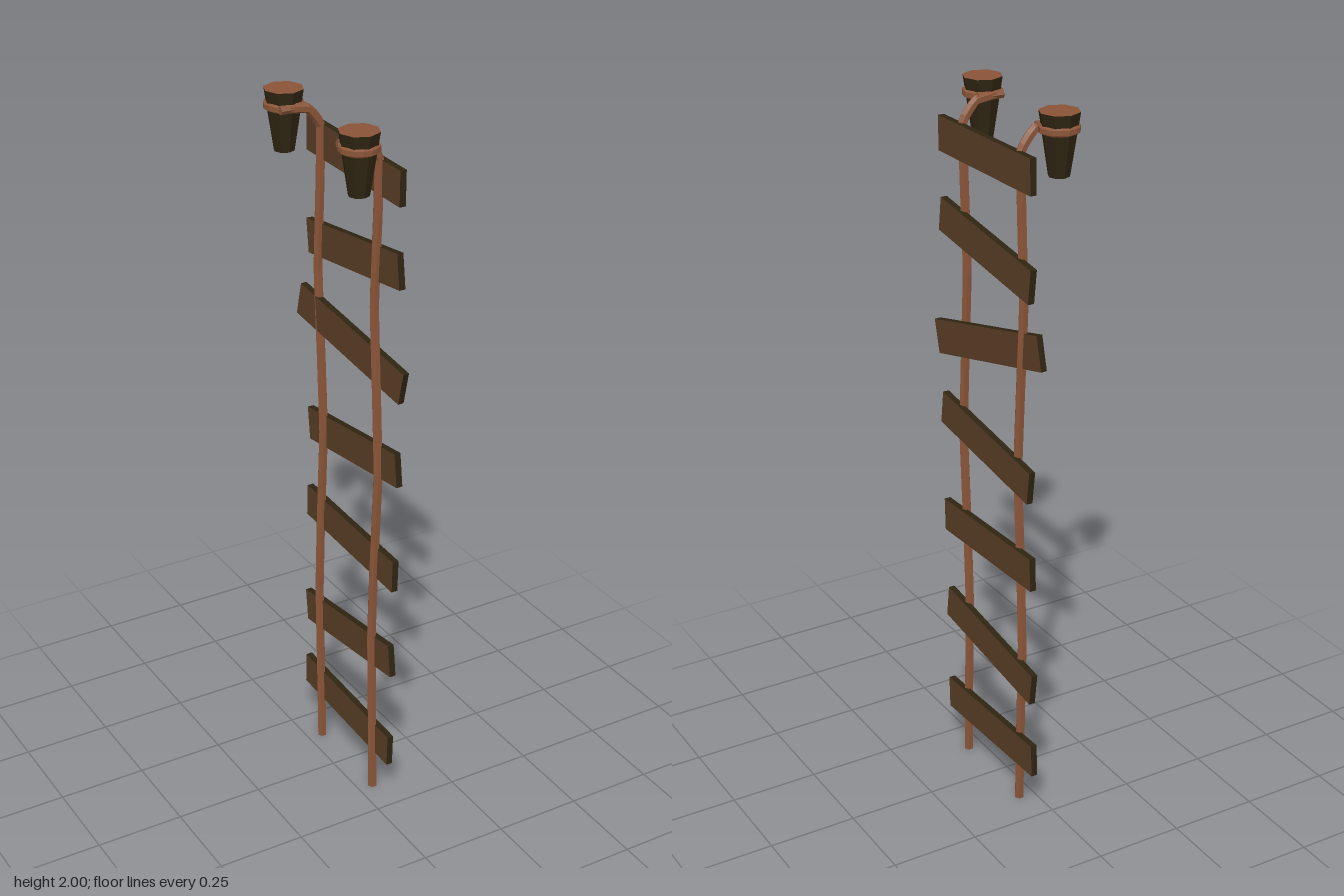
import * as THREE from 'three';

const mat = (name, color, side = THREE.FrontSide) => {
  const m = new THREE.MeshStandardMaterial({ color, flatShading: true, side });
  m.name = name;
  return m;
};

export function createModel() {
  const model = new THREE.Group();
  model.name = 'ropeLadder';
  const rope = mat('rope brown', 0x8a5438, THREE.DoubleSide);
  const plank = mat('plank brown', 0x593c25);
  const dark = mat('dark wood', 0x2e2411);

  const add = (name, geo, material, parent = model) => {
    const mesh = new THREE.Mesh(geo, material);
    mesh.name = name;
    parent.add(mesh);
    return mesh;
  };

  // Crooked steps: y, z, tilt, yaw. Broad faces are brown, edges dark.
  const steps = [
    [0.17, -0.013, 0.04, 0], [0.435, -0.008, -0.13, 0], [0.75, 0, 0.04, 0],
    [1.04, 0.01, -0.13, 0], [1.341, -0.005, 0.214, 0.105],
    [1.6, 0.008, -0.132, 0], [1.853, 0.008, 0.015, 0],
  ];
  const stepGeo = new THREE.BoxGeometry(0.018, 0.095, 0.46);
  steps.forEach(([y, z, tilt, yaw], i) => {
    const step = add(`step${i + 1}`, stepGeo, [plank, plank, dark, dark, dark, dark]);
    step.position.set(0.057, y, z);
    step.rotation.set(tilt, yaw, 0, 'YXZ');
  });

  // Sideways sway of the two ropes from the ground up: y, z offset
  const sway = [[0, 0], [0.25, -0.006], [0.5, -0.013], [0.75, -0.003], [1.02, 0.012],
    [1.25, 0], [1.5, -0.015], [1.75, -0.003], [1.9, 0]];

  for (const s of [1, -1]) {
    const side = s > 0 ? 'front' : 'back';
    const pegX = -0.038, pegZ = 0.187 * s, loopY = 1.957, loopR = 0.043;

    // Rope climbs, bends over to the peg and winds once around it
    const pts = sway.map(([y, dz]) => new THREE.Vector3(0.045, y, 0.144 * s + dz));
    pts.push(new THREE.Vector3(0.008, 1.95, 0.144 * s));
    for (let i = 0; i <= 8; i++) {
      const a = (i / 8) * Math.PI * 2;
      pts.push(new THREE.Vector3(pegX - Math.sin(a) * loopR, loopY,
        pegZ - s * Math.cos(a) * loopR));
    }
    const curve = new THREE.CatmullRomCurve3(pts, false, 'catmullrom', 0.15);
    add(side + 'Rope', new THREE.TubeGeometry(curve, 140, 0.0135, 6), rope);
    const end = add(side + 'RopeEnd', new THREE.CircleGeometry(0.0135, 6), rope);
    end.rotation.x = Math.PI / 2;
    end.position.set(0.045, 0.0005, 0.144 * s);

    // Straight tangent stretch beside the peg
    const tangent = add(side + 'RopeTangent',
      new THREE.CylinderGeometry(0.012, 0.012, 0.075, 6), rope);
    tangent.rotation.z = Math.PI / 2;
    tangent.position.set(-0.035, loopY, 0.144 * s);

    // Tapered peg with a light cut top
    const peg = add(side + 'Peg', new THREE.CylinderGeometry(0.0535, 0.028, 0.165, 8),
      [dark, rope, dark]);
    peg.position.set(pegX, 1.9175, pegZ);
  }
  return model;
}
